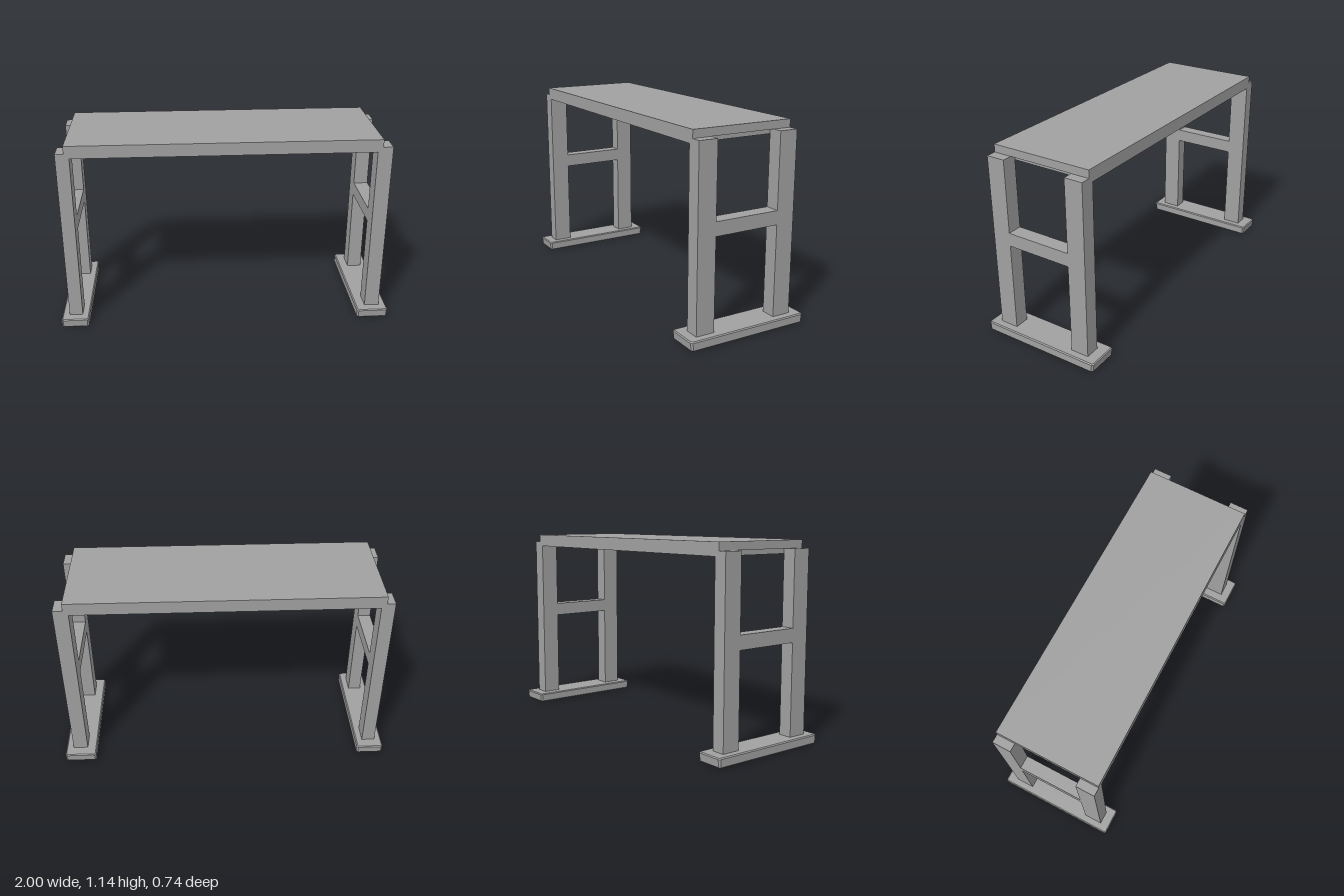
import * as THREE from 'three';

const material = new THREE.MeshStandardMaterial({ color: 0xa0a0a0, flatShading: true });

function addMesh(parent, name, geometry) {
  const mesh = new THREE.Mesh(geometry, material);
  mesh.name = name;
  parent.add(mesh);
  return mesh;
}

// Box given by its limits on each axis
function addBox(parent, name, [x0, x1], [y0, y1], [z0, z1]) {
  const mesh = addMesh(parent, name, new THREE.BoxGeometry(x1 - x0, y1 - y0, z1 - z0));
  mesh.position.set((x0 + x1) / 2, (y0 + y1) / 2, (z0 + z1) / 2);
}

function polygon(points) {
  return new THREE.Shape(points.map(([x, y]) => new THREE.Vector2(x, y)));
}

// Flat foot plank with worn, chamfered edges, its ends drawn in towards the floor
function footGeometry([x0, x1], [z0, z1], height) {
  const bevel = 0.006, cut = 0.006, taper = 0.005;
  const w = (x1 - x0) / 2 - bevel, d = (z1 - z0) / 2 - bevel;
  const outline = polygon([
    [-w + cut, -d], [w - cut, -d], [w, -d + cut], [w, d - cut],
    [w - cut, d], [-w + cut, d], [-w, d - cut], [-w, -d + cut],
  ]);
  const geometry = new THREE.ExtrudeGeometry(outline, {
    depth: height - 2 * bevel, bevelEnabled: true,
    bevelThickness: bevel, bevelSize: bevel, bevelSegments: 1,
  });
  geometry.rotateX(-Math.PI / 2);
  geometry.translate(0, bevel, 0);
  const position = geometry.attributes.position;
  for (let i = 0; i < position.count; i++) {
    const z = position.getZ(i);
    position.setZ(i, z - Math.sign(z) * taper * (1 - position.getY(i) / height));
  }
  geometry.translate((x0 + x1) / 2, 0, (z0 + z1) / 2);
  geometry.computeVertexNormals();
  return geometry;
}

export function createModel() {
  const model = new THREE.Group();
  model.name = 'benchTable';

  const backZ = -0.305, frontZ = 0.312;
  const legTop = 1.099;
  const ends = [
    { name: 'leftTrestle', leg: [0.867, 0.955], foot: [0.81, 1.0] },
    { name: 'rightTrestle', leg: [-0.957, -0.878], foot: [-1.0, -0.837] },
  ];

  // Top rests on the legs and is stepped down to fit between them
  const profile = polygon([
    [-0.878, 1.07], [0.867, 1.07], [0.867, legTop], [0.897, legTop],
    [0.897, 1.145], [-0.908, 1.145], [-0.908, legTop], [-0.878, legTop],
  ]);
  const top = new THREE.ExtrudeGeometry(profile, { depth: frontZ - backZ, bevelEnabled: false });
  top.translate(0, 0, backZ);
  addMesh(model, 'tableTop', top);

  // H-shaped trestle at each end
  for (const { name, leg, foot } of ends) {
    const trestle = new THREE.Group();
    trestle.name = name;
    addBox(trestle, 'frontLeg', leg, [0.05, legTop], [0.2, frontZ]);
    addBox(trestle, 'backLeg', leg, [0.05, legTop], [backZ, -0.195]);
    addBox(trestle, 'crossRail', leg, [0.588, 0.668], [-0.195, 0.2]);
    addMesh(trestle, 'foot', footGeometry(foot, [-0.371, 0.371], 0.055));
    model.add(trestle);
  }
  return model;
}
